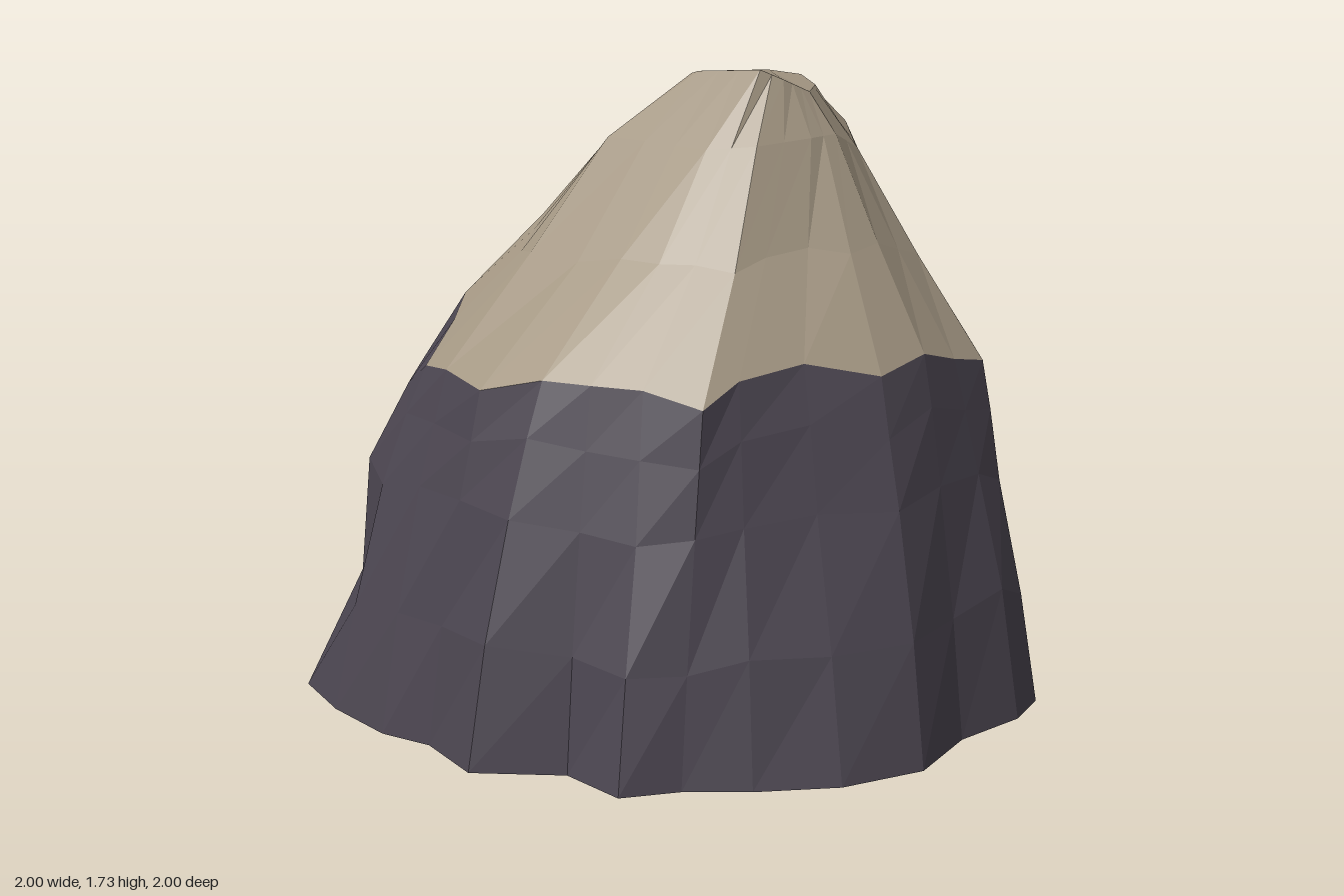
import * as THREE from 'three';

// Footprint corners (x, z), running from the left side round by the front
const FOOT = [
  [0.95, 0.08], [0.97, 0.33], [0.86, 0.54], [0.7, 0.69], [0.56, 0.79], [0.46, 0.91], [0.27, 0.87], [0.06, 1],
  [-0.15, 0.92], [-0.31, 0.93], [-0.55, 0.87], [-0.77, 0.77], [-0.8, 0.45], [-0.97, 0.15], [-1, -0.07],
  [-0.98, -0.3], [-0.88, -0.53], [-0.73, -0.72], [-0.48, -0.9], [-0.16, -1], [0.06, -0.98], [0.21, -0.91],
  [0.48, -0.95], [0.65, -0.77], [0.67, -0.63], [0.71, -0.52], [0.86, -0.43], [0.98, -0.31], [1, -0.15],
];
// Dark wall at mid height (x, y, z), one point per footprint corner
const WALL = [
  [0.86, 0.66, 0.06], [0.85, 0.63, 0.26], [0.72, 0.64, 0.44], [0.61, 0.62, 0.6], [0.535, 0.6, 0.7], [0.41, 0.58, 0.77],
  [0.26, 0.6, 0.8], [0.09, 0.62, 0.87], [-0.1, 0.64, 0.84], [-0.3, 0.64, 0.78], [-0.53, 0.6, 0.69],
  [-0.755, 0.62, 0.52], [-0.81, 0.64, 0.4], [-0.88, 0.62, 0.13], [-0.9, 0.6, -0.08], [-0.87, 0.62, -0.28],
  [-0.77, 0.64, -0.5], [-0.65, 0.66, -0.7], [-0.42, 0.68, -0.82], [-0.13, 0.69, -0.9], [0.07, 0.68, -0.88],
  [0.22, 0.68, -0.84], [0.46, 0.68, -0.86], [0.59, 0.66, -0.69], [0.61, 0.64, -0.54], [0.67, 0.62, -0.46],
  [0.76, 0.62, -0.37], [0.87, 0.62, -0.27], [0.87, 0.66, -0.14],
];
// Jagged line where the dark rock meets the pale cap
const RIM = [
  [0.8, 1, 0.05], [0.77, 0.96, 0.22], [0.64, 1, 0.38], [0.56, 0.97, 0.55], [0.53, 0.91, 0.66], [0.38, 0.95, 0.7],
  [0.25, 0.955, 0.74], [0.12, 0.96, 0.77], [-0.07, 0.92, 0.79], [-0.29, 0.94, 0.68], [-0.48, 0.92, 0.56],
  [-0.52, 1.03, 0.4], [-0.67, 1.08, 0.19], [-0.64, 1.15, -0.12], [-0.58, 1.15, -0.22], [-0.5, 1.15, -0.33],
  [-0.38, 1.14, -0.47], [-0.26, 1.12, -0.6], [-0.13, 1.14, -0.59], [0, 1.11, -0.58], [0.15, 1.1, -0.63],
  [0.28, 1.08, -0.61], [0.41, 1.09, -0.63], [0.5, 1.09, -0.52], [0.57, 1.02, -0.42], [0.67, 1, -0.37],
  [0.74, 1.01, -0.31], [0.82, 0.95, -0.25], [0.81, 0.97, -0.1],
];
const N = FOOT.length;

// Sparse rings (column, x, y, z), filled in between the keys
const SHOULDER = [
  [0, 0.52, 1.56, 0.04], [2, 0.5, 1.55, 0.13], [4, 0.43, 1.53, 0.28], [6, 0.3, 1.52, 0.32], [8, 0.08, 1.54, 0.29],
  [9, -0.06, 1.55, 0.27], [11, -0.17, 1.55, 0.12], [13, -0.24, 1.57, -0.04], [15, -0.1, 1.61, -0.14],
  [17, 0.02, 1.66, -0.24], [19, 0.14, 1.62, -0.35], [22, 0.32, 1.59, -0.35], [24, 0.41, 1.48, -0.29],
  [27, 0.47, 1.52, -0.16],
];
const SUMMIT = [
  [0, 0.45, 1.67, 0.06], [3, 0.42, 1.7, 0.14], [5, 0.38, 1.725, 0.19], [8, 0.17, 1.725, 0.17], [9, 0.14, 1.72, 0.16],
  [13, 0.07, 1.71, -0.02], [17, 0.1, 1.715, -0.17], [19, 0.15, 1.73, -0.19], [22, 0.28, 1.72, -0.17],
  [25, 0.37, 1.69, -0.1],
];

function fillRing(keys) {
  const closed = [...keys, [N, ...keys[0].slice(1)]];
  return FOOT.map((_, i) => {
    const k = closed.findIndex((key) => key[0] > i);
    const a = closed[k - 1], b = closed[k];
    const t = (i - a[0]) / (b[0] - a[0]);
    return [1, 2, 3].map((c) => THREE.MathUtils.lerp(a[c], b[c], t));
  });
}

// Ring between two others; inward is the share moved in plan, h the share moved up
function between(low, high, inward, h) {
  return low.map((p, i) => {
    const q = high[i], f = inward(i), u = h(i);
    return [p[0] + (q[0] - p[0]) * f, p[1] + (q[1] - p[1]) * u, p[2] + (q[2] - p[2]) * f];
  });
}

// Repeatable roughness in -1..1
const rough = (i, k) => {
  const s = Math.sin(i * 12.99 + k * 78.23) * 43758.5;
  return (s - Math.floor(s)) * 2 - 1;
};

// Facets joining stacked rings, optionally closed by a top point
function rockMesh(name, rings, material, tip) {
  const pos = [];
  const v = (...points) => points.forEach((p) => pos.push(...p));
  for (let i = 0; i < N; i++) {
    const n = (i + 1) % N;
    for (let j = 0; j + 1 < rings.length; j++) {
      const a = rings[j][i], b = rings[j][n], c = rings[j + 1][i], d = rings[j + 1][n];
      v(a, c, b, b, c, d);
    }
    const top = rings[rings.length - 1];
    if (tip) v(top[i], tip, top[n]);
  }
  const geometry = new THREE.BufferGeometry();
  geometry.setAttribute('position', new THREE.Float32BufferAttribute(pos, 3));
  geometry.computeVertexNormals();
  const mesh = new THREE.Mesh(geometry, material);
  mesh.name = name;
  return mesh;
}

export function createModel() {
  const rock = { flatShading: true, side: THREE.DoubleSide };
  const dark = new THREE.MeshStandardMaterial({ ...rock, name: 'dark rock', color: 0x4c4651 });
  const pale = new THREE.MeshStandardMaterial({ ...rock, name: 'pale rock', color: 0xa69985 });

  const foot = FOOT.map(([x, z]) => [x, 0, z]);
  const shoulder = fillRing(SHOULDER);

  // Dark body: the foot flares out, the back and right side rise upright before leaning in
  const upright = (i) => i >= 11 && i <= 22;
  const skirt = between(foot, WALL, (i) => (upright(i) ? 0.85 : 0.42), (i) => 0.5 + 0.04 * rough(i, 1));
  const brow = between(WALL, RIM, (i) => (upright(i) ? 0.47 : 0.55), (i) => 0.57 + 0.04 * rough(i, 2));

  // Pale cap: slightly hollow at the front
  const waist = between(RIM, shoulder, (i) => (i > 1 && i < 9 ? 0.58 : 0.52), () => 0.5);

  const group = new THREE.Group();
  group.name = 'rockMound';
  group.add(
    rockMesh('rockBody', [foot, skirt, WALL, brow, RIM], dark),
    rockMesh('rockCap', [RIM, waist, shoulder, fillRing(SUMMIT)], pale, [0.28, 1.73, 0]),
  );
  return group;
}
